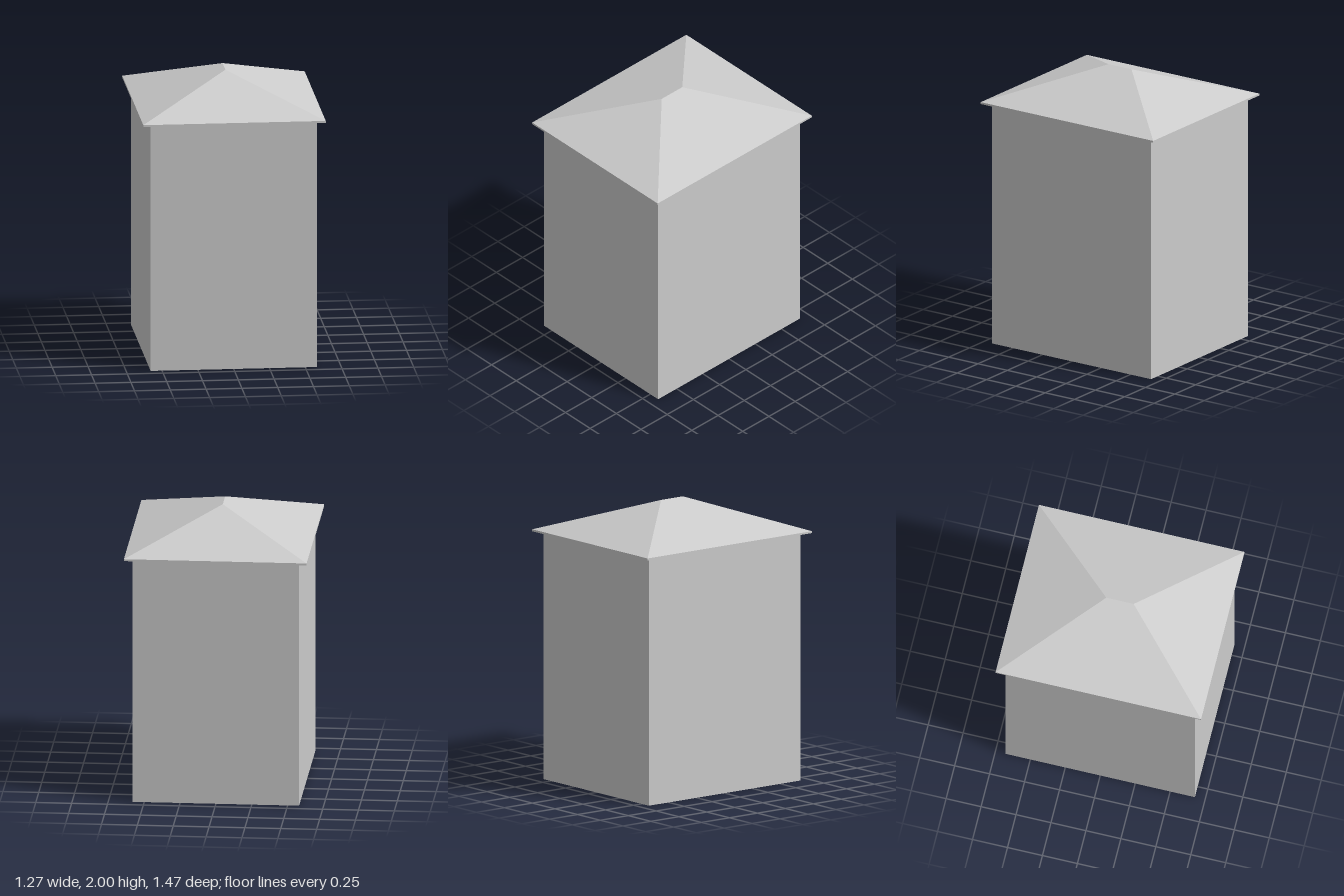
import * as THREE from 'three';

const WALL = { x: 0.58, z: 0.677 };
const EAVE = { x: 0.637, z: 0.735 };
const EAVE_BOTTOM = 1.758, EAVE_TOP = 1.772, RIDGE_Y = 2, RIDGE_Z = 0.098;

// Rectangular ring of corners, anticlockwise seen from above
const ring = (x, y, z) => [[-x, y, z], [x, y, z], [x, y, -z], [-x, y, -z]];

// Flat faces (triangles or quads, corners anticlockwise from outside)
function facesGeometry(faces) {
  const pos = [];
  for (const f of faces) {
    for (let i = 1; i < f.length - 1; i++) pos.push(...f[0], ...f[i], ...f[i + 1]);
  }
  const g = new THREE.BufferGeometry();
  g.setAttribute('position', new THREE.Float32BufferAttribute(pos, 3));
  g.computeVertexNormals();
  return g;
}

// Four side quads between two rings
const band = (a, b) => a.map((p, i) => {
  const j = (i + 1) % 4;
  return [p, a[j], b[j], b[i]];
});

export function createModel() {
  const group = new THREE.Group();
  group.name = 'hippedRoofBuilding';
  const grey = new THREE.MeshStandardMaterial({ color: 0xcccccc, side: THREE.DoubleSide });
  grey.name = 'light grey';

  const add = (name, faces) => {
    const mesh = new THREE.Mesh(facesGeometry(faces), grey);
    mesh.name = name;
    group.add(mesh);
  };

  // Walls, open at the bottom
  add('walls', band(ring(WALL.x, 0, WALL.z), ring(WALL.x, EAVE_BOTTOM, WALL.z)));

  // Thin eaves edge with its underside
  const low = ring(EAVE.x, EAVE_BOTTOM, EAVE.z);
  const high = ring(EAVE.x, EAVE_TOP, EAVE.z);
  add('eaves', [...band(low, high), [...low].reverse()]);

  // Hipped roof: two triangles and two trapezoids meeting at a short ridge
  const front = [0, RIDGE_Y, RIDGE_Z], back = [0, RIDGE_Y, -RIDGE_Z];
  const [fl, fr, br, bl] = high;
  add('roof', [
    [fl, fr, front],
    [fr, br, back, front],
    [br, bl, back],
    [bl, fl, front, back],
  ]);

  return group;
}
